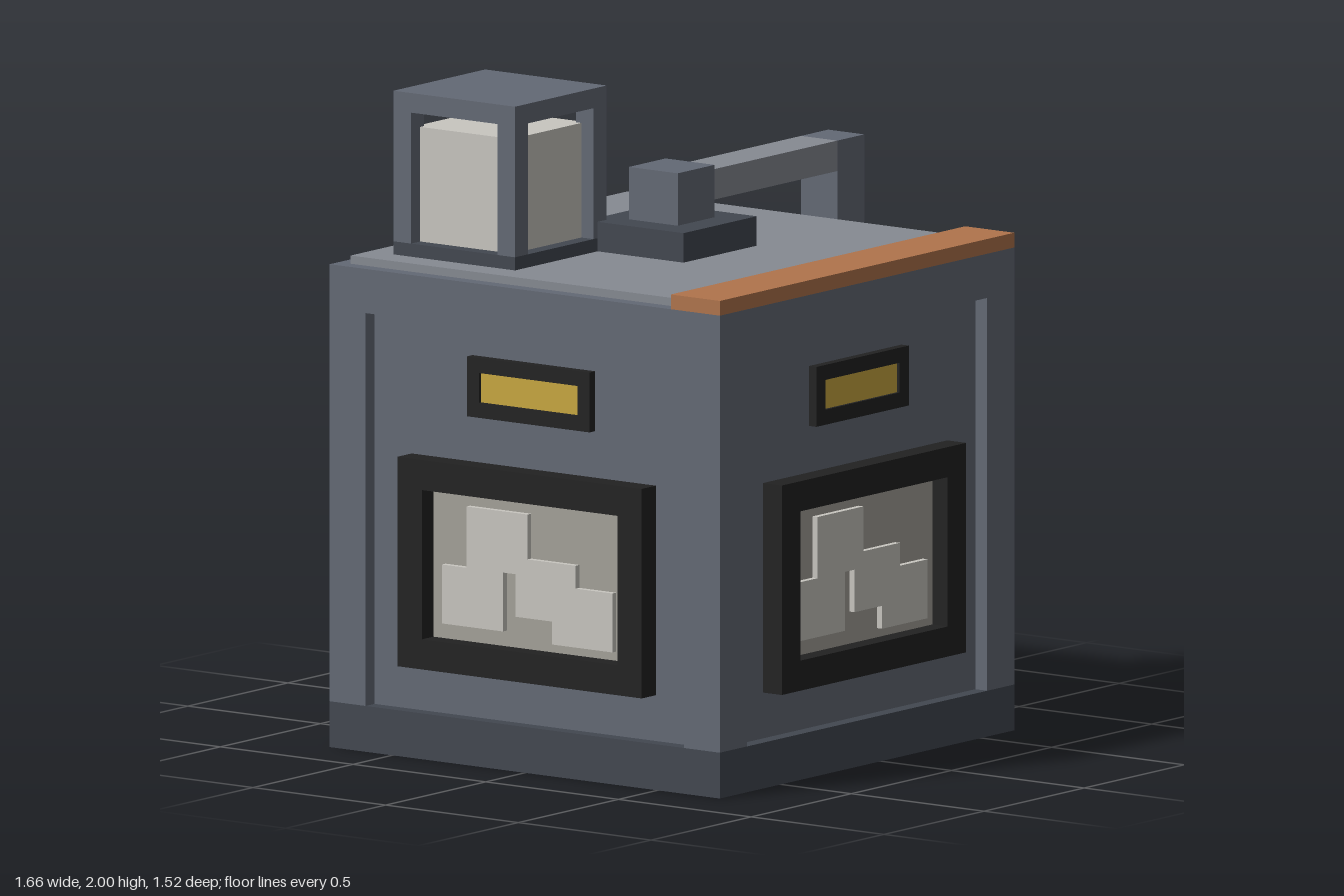
import * as THREE from 'three';

const mat = (name, color) => Object.assign(new THREE.MeshStandardMaterial({ color }), { name });

export function createModel() {
  const steel = mat('steel blue', 0x636975);
  const dark = mat('dark steel', 0x424750);
  const light = mat('light steel', 0x868a92);
  const black = mat('black frame', 0x222222);
  const yellow = mat('yellow lamp', 0xc8a740);
  const copper = mat('copper', 0xb0744c);
  const pane = mat('grey pane', 0xa4a199);
  const pale = mat('pale grey', 0xc8c6c0);

  const model = new THREE.Group();
  model.name = 'machine';

  // Box given by its lower and upper limits on each axis
  const box = (parent, name, m, [x0, x1], [y0, y1], [z0, z1]) => {
    const mesh = new THREE.Mesh(new THREE.BoxGeometry(x1 - x0, y1 - y0, z1 - z0), m);
    mesh.position.set((x0 + x1) / 2, (y0 + y1) / 2, (z0 + z1) / 2);
    mesh.name = name;
    parent.add(mesh);
    return mesh;
  };
  // Flat outline extruded from z0 to z1
  const slab = (parent, name, m, shape, z0, z1) => {
    const mesh = new THREE.Mesh(
      new THREE.ExtrudeGeometry(shape, { depth: z1 - z0, bevelEnabled: false }), m);
    mesh.position.z = z0;
    mesh.name = name;
    parent.add(mesh);
  };
  const rectPoints = (w, y0, y1) => [[-w, y0], [w, y0], [w, y1], [-w, y1]]
    .map(([x, y]) => new THREE.Vector2(x, y));
  const ring = (w, y0, y1, border) => {
    const shape = new THREE.Shape(rectPoints(w, y0, y1));
    shape.holes.push(new THREE.Path(rectPoints(w - border, y0 + border, y1 - border)));
    return shape;
  };

  // Square cabinet, built around its own axis
  const cabinet = new THREE.Group();
  cabinet.name = 'cabinet';
  cabinet.position.x = -0.07;
  model.add(cabinet);
  const H = 0.735, R = 0.69, P = 0.6;
  box(cabinet, 'plinth', dark, [-H, H], [0, 0.14], [-H, H]);
  box(cabinet, 'core', steel, [-R, R], [0.14, 1.34], [-R, R]);
  box(cabinet, 'topBand', steel, [-H, H], [1.34, 1.475], [-H, H]);
  for (const sx of [-1, 1]) for (const sz of [-1, 1]) {
    const post = box(cabinet, 'cornerPost', steel, [P, H], [0.14, 1.34], [P, H]);
    post.position.x *= sx;
    post.position.z *= sz;
  }
  box(cabinet, 'topPlate', light, [-R, R], [1.475, 1.5], [-R, 0.55]);
  box(cabinet, 'frontTrim', copper, [-H, H], [1.475, 1.52], [0.55, H]);

  // Stepped relief behind each window
  const relief = new THREE.Shape([
    [-0.322, 0.42], [-0.092, 0.42], [-0.092, 0.6], [-0.045, 0.6], [-0.045, 0.47], [0.092, 0.47],
    [0.092, 0.4], [0.32, 0.4], [0.32, 0.58], [0.182, 0.58], [0.182, 0.65], [0, 0.65],
    [0, 0.787], [-0.23, 0.787], [-0.23, 0.6], [-0.322, 0.6],
  ].map(([x, y]) => new THREE.Vector2(x, y)));

  // The same window and lamp on all four sides
  for (let i = 0; i < 4; i++) {
    const side = new THREE.Group();
    side.name = 'sideFittings';
    side.rotation.y = i * Math.PI / 2;
    cabinet.add(side);
    slab(side, 'windowFrame', black, ring(0.46, 0.28, 0.92, 0.092), R, 0.761);
    box(side, 'windowPane', pane, [-0.37, 0.37], [0.37, 0.83], [R, 0.703]);
    slab(side, 'windowRelief', pale, relief, 0.703, 0.722);
    slab(side, 'lampFrame', black, ring(0.231, 1.062, 1.245, 0.046), R, 0.718);
    box(side, 'lamp', yellow, [-0.186, 0.186], [1.107, 1.2], [R, 0.708]);
  }

  // Glazed tower at the back right corner of the top
  const tower = new THREE.Group();
  tower.name = 'tower';
  tower.position.set(-0.438, 0, -0.37);
  model.add(tower);
  const T = 0.229, O = 0.163;
  box(tower, 'towerBase', dark, [-T, T], [1.5, 1.54], [-T, T]);
  box(tower, 'towerRoof', steel, [-T, T], [1.94, 2], [-T, T]);
  for (const sx of [-1, 1]) for (const sz of [-1, 1]) {
    const post = box(tower, 'towerPost', steel, [O, T], [1.54, 1.94], [O, T]);
    post.position.x *= sx;
    post.position.z *= sz;
  }
  box(tower, 'towerFilling', pale, [-0.183, 0.183], [1.54, 1.89], [-0.183, 0.183]);
  box(tower, 'towerTab', pale, [0.183, 0.205], [1.705, 1.865], [0.03, 0.095]);

  // Arm reaching over the left side, with a two-pronged tool
  const arm = new THREE.Group();
  arm.name = 'arm';
  model.add(arm);
  box(arm, 'armBase', dark, [-0.255, 0.11], [1.5, 1.59], [-0.183, 0.183]);
  box(arm, 'armPost', steel, [-0.163, 0.02], [1.59, 1.75], [-0.092, 0.092]);
  box(arm, 'armBeam', light, [0.02, 0.665], [1.637, 1.73], [-0.068, 0.068]);
  box(arm, 'armEnd', steel, [0.665, 0.8], [1.4, 1.73], [-0.068, 0.068]);
  box(arm, 'toolCollar', dark, [0.645, 0.825], [1.315, 1.4], [-0.092, 0.092]);
  for (const s of [-1, 1]) {
    const prong = box(arm, 'toolProng', pale, [0.688, 0.778], [0.97, 1.315], [0.006, 0.056]);
    prong.position.z *= s;
  }
  return model;
}
